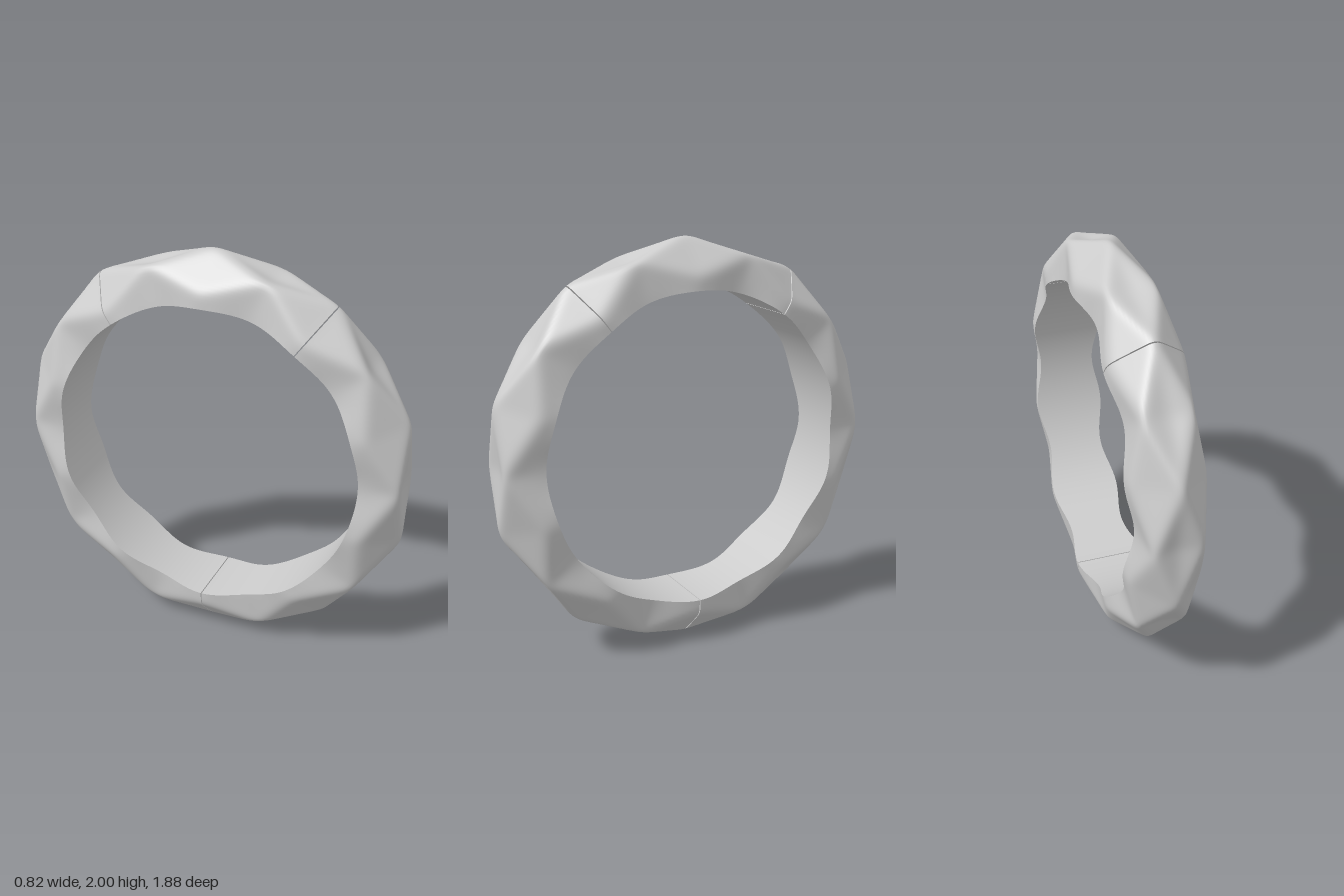
import * as THREE from 'three';
import { mergeGeometries } from 'three/addons/utils/BufferGeometryUtils.js';

const HALF = Math.PI / 10;      // from a peak to the next valley
const STEPS = 20;               // rows per half period
const ROWS = STEPS * 20;
const COLS = 40;
const INNER = 0.77;

// x = across the band, y/z = ring plane, angle 0 at the top
const polar = (r, w, a) => new THREE.Vector3(w, r * Math.cos(a), r * Math.sin(a));

// One cross-section of the faceted outside, from one inner rim to the other
function section(row) {
  const k = Math.floor(row / STEPS), f = (row % STEPS) / STEPS;
  const peakFirst = k % 2 === 0;
  const t = peakFirst ? f : 1 - f;
  const aPeak = (peakFirst ? k : k + 1) * HALF, aValley = (peakFirst ? k + 1 : k) * HALF;
  const mix = (p, v, s) => polar(p[0], p[1] * s, aPeak).lerp(polar(v[0], v[1] * s, aValley), t);
  const ease = (1 - Math.cos(Math.PI * t)) / 2;
  const side = s => [
    polar(INNER, s * (0.178 - 0.035 * ease), row / STEPS * HALF),
    mix([0.838, 0.18], [0.964, 0.118], s),   // flank ridge
    mix([1.018, 0], [0.964, 0.118], s),      // crown ridge
  ];
  const pts = [...side(-1), mix([1.018, 0], [0.938, 0], 1), ...side(1).reverse()];
  const path = new THREE.CurvePath();
  for (let i = 1; i < pts.length; i++) {
    if (pts[i].distanceTo(pts[i - 1]) > 1e-5) path.add(new THREE.LineCurve3(pts[i - 1], pts[i]));
  }
  return path.getSpacedPoints(COLS);
}

// Soften the facet ridges, keeping both inner rims in place
function soften(grid, passes) {
  for (let p = 0; p < passes; p++) {
    const blend = (a, b, c) => b.clone().multiplyScalar(2).add(a).add(c).multiplyScalar(0.25);
    grid = grid.map((r, i) => r.map((v, j) => j === 0 || j === COLS ? v
      : blend(grid[(i + ROWS - 1) % ROWS][j], v, grid[(i + 1) % ROWS][j])));
    grid = grid.map(r => r.map((v, j) => j === 0 || j === COLS ? v : blend(r[j - 1], v, r[j + 1])));
  }
  return grid;
}

// Smooth surface through rows of points
function skin(rows) {
  const n = rows[0].length, index = [];
  for (let i = 0; i < rows.length - 1; i++) {
    for (let j = 0; j < n - 1; j++) {
      const a = i * n + j, b = a + n;
      index.push(a, b, a + 1, a + 1, b, b + 1);
    }
  }
  const g = new THREE.BufferGeometry().setFromPoints(rows.flat());
  g.setIndex(index);
  g.computeVertexNormals();
  return g;
}

// Flat end of a segment
function cap(row, angle, flip) {
  const index = [], n = row.length;
  for (let j = 0; j < n; j++) {
    const k = (j + 1) % n;
    index.push(n, flip ? k : j, flip ? j : k);
  }
  const g = new THREE.BufferGeometry().setFromPoints([...row, polar(0.82, 0, angle)]);
  g.setIndex(index);
  g.computeVertexNormals();
  return g;
}

function segment(grid, start, end) {
  const gap = 0.003, rows = [];
  const axis = new THREE.Vector3(1, 0, 0);
  for (let i = start; i <= end; i++) {
    const turn = i === start ? gap : i === end ? -gap : 0;
    rows.push(grid[(i + ROWS) % ROWS].map(v => v.clone().applyAxisAngle(axis, turn)));
  }
  const bore = rows.map(r => [r[COLS], r[0]]);
  const angle = i => i / STEPS * HALF;
  return mergeGeometries([
    skin(rows),
    skin(bore),
    cap(rows[0], angle(start) + gap, false),
    cap(rows[rows.length - 1], angle(end) - gap, true),
  ]);
}

export function createModel() {
  const group = new THREE.Group();
  group.name = 'facetedBangle';
  const material = new THREE.MeshStandardMaterial({ color: 0xcccccc, side: THREE.DoubleSide });
  const grid = soften(Array.from({ length: ROWS }, (_, i) => section(i)), 5);

  // Three segments meeting at fine seams
  const parts = { topSegment: [-2, 2], frontSegment: [2, 10], backSegment: [10, 18] };
  const ring = new THREE.Group();
  ring.name = 'ring';
  for (const [name, [a, b]] of Object.entries(parts)) {
    const mesh = new THREE.Mesh(segment(grid, a * STEPS, b * STEPS), material);
    mesh.name = name;
    ring.add(mesh);
  }
  ring.rotation.y = HALF;
  ring.position.y = 1;
  group.add(ring);
  return group;
}
